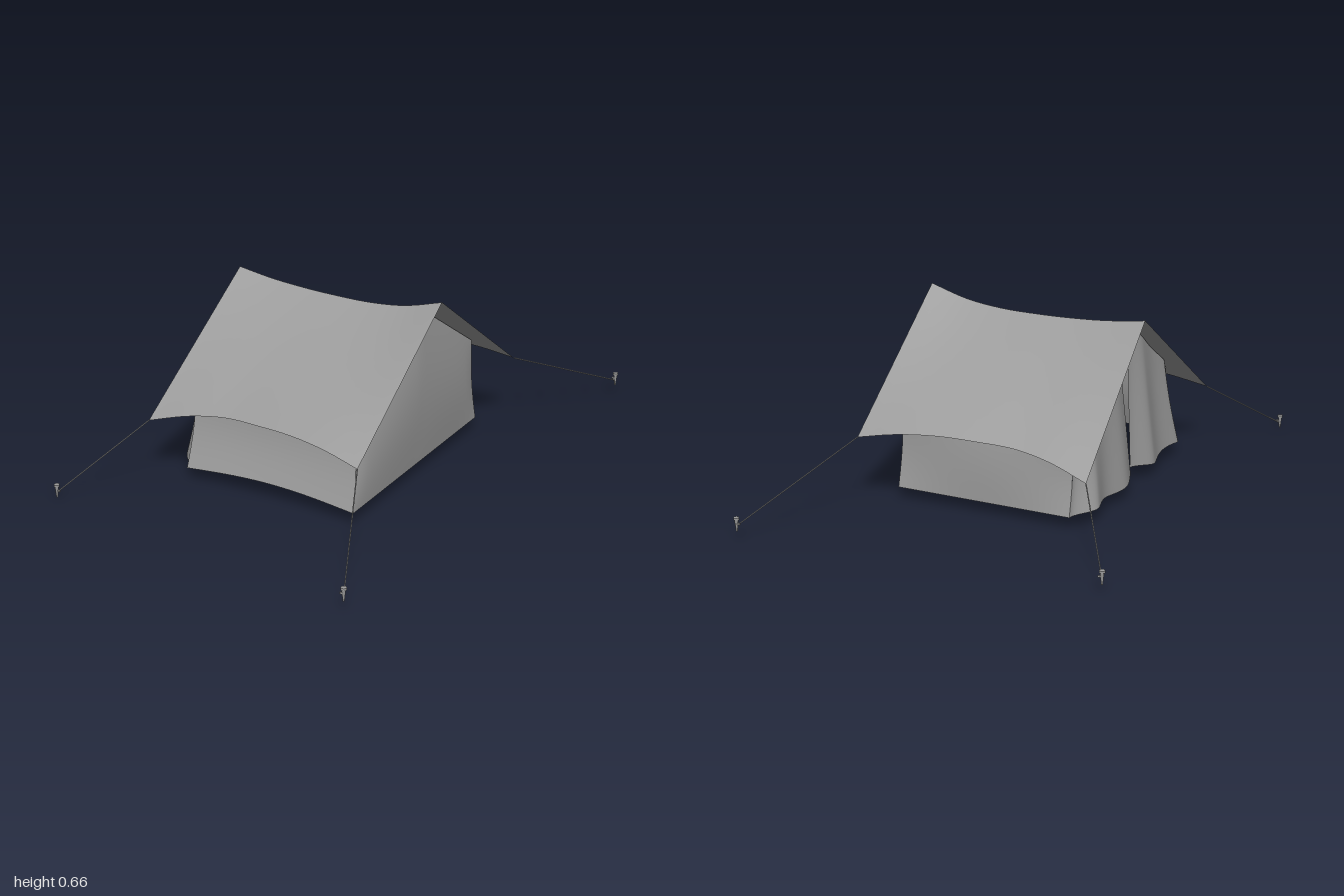
import * as THREE from 'three';

const { lerp, smoothstep } = THREE.MathUtils;
const cloth = new THREE.MeshStandardMaterial({ color: 0x9b9b9b, side: THREE.DoubleSide });
const solid = new THREE.MeshStandardMaterial({ color: 0x9b9b9b });

// Smooth open sheet: fn(u, v) returns [x, y, z] for u, v in 0..1
function sheet(name, fn, nu = 24, nv = 12) {
  const pos = [], idx = [];
  for (let j = 0; j <= nv; j++)
    for (let i = 0; i <= nu; i++) pos.push(...fn(i / nu, j / nv));
  for (let j = 0; j < nv; j++)
    for (let i = 0; i < nu; i++) {
      const a = j * (nu + 1) + i, b = a + nu + 1;
      idx.push(a, a + 1, b, b, a + 1, b + 1);
    }
  const g = new THREE.BufferGeometry();
  g.setAttribute('position', new THREE.Float32BufferAttribute(pos, 3));
  g.setIndex(idx);
  g.computeVertexNormals();
  const m = new THREE.Mesh(g, cloth);
  m.name = name;
  return m;
}

const curve = (pts) => new THREE.CatmullRomCurve3(pts.map((p) => new THREE.Vector3(...p)));

// Sagging ridge and scooped eave, evenly stepped from -x to +x
const ridge = curve([[-0.41, 0.627, 0], [-0.275, 0.609, 0], [-0.14, 0.6, 0], [0, 0.597, 0],
  [0.14, 0.6, 0], [0.275, 0.617, 0], [0.415, 0.657, 0]]);
const eave = curve([[-0.435, 0.225, 0.54], [-0.29, 0.262, 0.507], [-0.15, 0.281, 0.488], [-0.01, 0.288, 0.498],
  [0.13, 0.29, 0.511], [0.275, 0.28, 0.531], [0.415, 0.256, 0.553]]);

// Height just under the roof cloth at a point
function roofY(x, z) {
  const t = (x + 0.42) / 0.835;
  const r = ridge.getPoint(t), e = eave.getPoint(t);
  return lerp(r.y, e.y, Math.abs(z) / e.z) - 0.004;
}

// Wall corner lines: s = side of z, v = 0 at the hem, 1 at the roof
const belly = (v) => Math.sin(Math.PI * v);
const cornerZ = (s, v) => s * (lerp(s > 0 ? 0.475 : 0.43, 0.408, v) - 0.013 * belly(v));
const cornerX = (s, v) => lerp(s > 0 ? 0.352 : 0.328, 0.317, v);
const DOOR_X = -0.325, HEM = 0.044;

function addRoof(group) {
  for (const s of [1, -1])
    group.add(sheet(s > 0 ? 'frontRoof' : 'backRoof', (u, v) => {
      const r = ridge.getPoint(u), e = eave.getPoint(u);
      return [lerp(r.x, e.x, v), lerp(r.y, e.y, v), s * e.z * v];
    }, 24, 6));
}

function addWalls(group) {
  // Long walls: the front hem is scooped, the back cloth billows outwards
  for (const s of [1, -1])
    group.add(sheet(s > 0 ? 'frontWall' : 'backWall', (u, v) => {
      const x = lerp(DOOR_X, cornerX(s, v), u);
      const billow = s > 0 ? 0.008 * (v - 1) : 0.02 * belly(v);
      const hem = HEM + (s > 0 ? 0.02 * belly(u) : 0);
      return [x, lerp(hem, roofY(x, cornerZ(s, 1)), v), cornerZ(s, v) + s * billow * belly(u)];
    }));
  // Closed gable, bulging outwards
  group.add(sheet('endWall', (u, v) => {
    const z = lerp(cornerZ(-1, v), cornerZ(1, v), u);
    const x = lerp(cornerX(-1, v), cornerX(1, v), u) + 0.022 * Math.sqrt(belly(u)) * belly(v);
    return [x, lerp(HEM, roofY(x, lerp(cornerZ(-1, 1), cornerZ(1, 1), u)), v), z];
  }));
}

// Two draped door flaps with a narrow gap between them
function addFlaps(group) {
  for (const s of [1, -1])
    group.add(sheet(s > 0 ? 'frontDoorFlap' : 'backDoorFlap', (u, v) => {
      const inner = s > 0 ? lerp(0.06, 0.03, v) : lerp(-0.005, -0.07, v);
      const topZ = lerp(cornerZ(s, 1), s > 0 ? 0.03 : -0.07, u);
      const z = lerp(cornerZ(s, v), inner, u);
      const edge = smoothstep(u, 0, 0.25);
      const tuck = 1 - (s > 0 ? 0.8 : 0.25) * smoothstep(u, 0.75, 1);
      const out = lerp(0.055, 0.022, v) * edge * tuck;
      const fold = Math.sin(u * Math.PI * 3) * 0.012 * (1 - 0.7 * v) * edge;
      const x = DOOR_X - out - fold;
      const hem = HEM + 0.012 * Math.sin(u * Math.PI * 1.5) ** 2;
      return [x, lerp(hem, roofY(x, topZ), v), z];
    }, 40, 14));
}

// Guy rope from an eave corner to a hooked peg; base = foot of the peg
function addGuy(group, name, corner, base) {
  const guy = new THREE.Group();
  guy.name = name;
  const a = new THREE.Vector3(...corner);
  const b = new THREE.Vector3(base[0], base[1] + 0.019, base[2]);
  const rope = new THREE.Mesh(new THREE.TubeGeometry(new THREE.LineCurve3(a, b), 1, 0.0022, 6), solid);
  rope.name = 'rope';

  const peg = new THREE.Group();
  peg.name = 'peg';
  peg.position.set(...base);
  const shaft = new THREE.Mesh(new THREE.CylinderGeometry(0.007, 0.003, 0.042, 8), solid);
  shaft.position.y = 0.021;
  const head = new THREE.Mesh(new THREE.CylinderGeometry(0.01, 0.01, 0.008, 10), solid);
  head.position.y = 0.045;
  const hook = new THREE.Mesh(new THREE.BoxGeometry(0.014, 0.006, 0.006), solid);
  hook.position.set(0.007 * Math.sign(-base[0]), 0.027, 0);
  peg.add(shaft, head, hook);
  guy.add(rope, peg);
  group.add(guy);
}

export function createModel() {
  const tent = new THREE.Group();
  tent.name = 'tent';
  addRoof(tent);
  addWalls(tent);
  addFlaps(tent);
  addGuy(tent, 'frontLeftGuy', [0.415, 0.256, 0.553], [0.63, 0.036, 0.99]);
  addGuy(tent, 'backLeftGuy', [0.415, 0.256, -0.553], [0.63, 0.036, -0.99]);
  addGuy(tent, 'frontRightGuy', [-0.435, 0.225, 0.54], [-0.625, 0, 0.825]);
  addGuy(tent, 'backRightGuy', [-0.435, 0.225, -0.54], [-0.635, 0.033, -0.857]);
  return tent;
}
